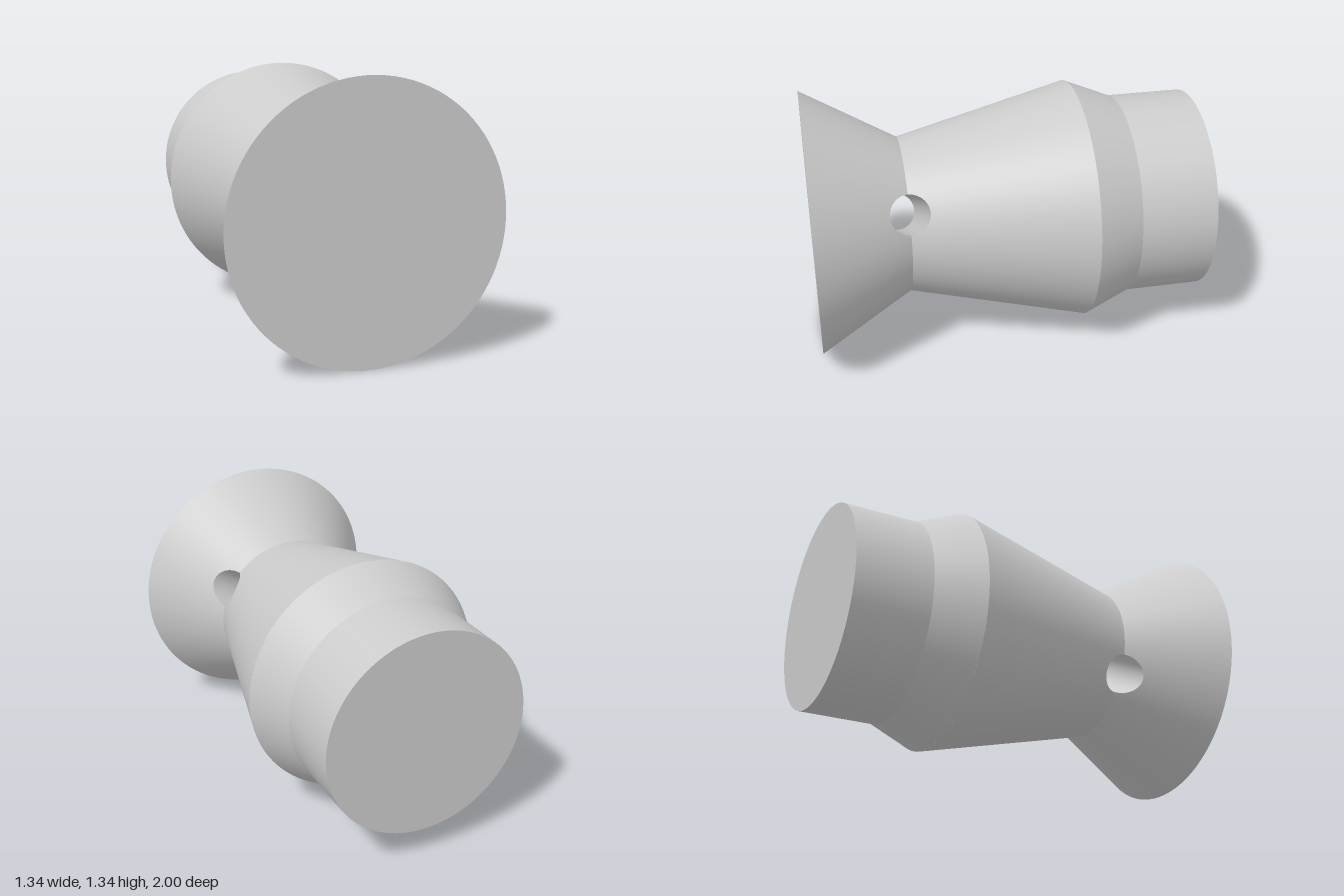
import * as THREE from 'three';

const MAX_R = 0.672;                       // front rim radius, also the axis height
const NECK_Z = 0.525, NECK_R = 0.4;
const HOLE_R = 0.1, HOLE_TILT = THREE.MathUtils.degToRad(28.4);
const BACK_Z = -0.371, BACK_R = 0.62;      // widest ring of the barrel
const SIDES = 96, HOLE_STEPS = 24;

const material = new THREE.MeshStandardMaterial({ color: 0xcccccc });

const slope = (dir) => dir > 0
  ? (MAX_R - NECK_R) / (1 - NECK_Z)
  : (BACK_R - NECK_R) / (BACK_Z - NECK_Z);
const radiusAt = (z) => NECK_R + slope(z >= NECK_Z ? 1 : -1) * (z - NECK_Z);

function addMesh(parent, name, geometry) {
  const mesh = new THREE.Mesh(geometry, material);
  mesh.name = name;
  parent.add(mesh);
  return mesh;
}

// Surface between two rails; each column is { a, b, n }
function strip(columns) {
  const pos = [], nor = [], index = [];
  columns.forEach(({ a, b, n }, i) => {
    pos.push(...a, ...b);
    nor.push(...n, ...n);
    if (i > 0) {
      const k = 2 * (i - 1);
      index.push(k, k + 2, k + 1, k + 2, k + 3, k + 1);
    }
  });
  const g = new THREE.BufferGeometry();
  g.setAttribute('position', new THREE.Float32BufferAttribute(pos, 3));
  g.setAttribute('normal', new THREE.Float32BufferAttribute(nor, 3));
  g.setIndex(index);
  return g;
}

// Cone running from the neck to an outer ring, notched by the hole on both sides
function notchedCone(dir, endZ, endR) {
  const starts = [];
  const edge = Math.asin(HOLE_R / NECK_R);
  for (const side of [0, Math.PI]) {
    for (let i = 0; i <= HOLE_STEPS; i++) {
      const phi = Math.PI * (1 - i / HOLE_STEPS);
      const z = NECK_Z + dir * HOLE_R * Math.sin(phi);
      starts.push([side + Math.asin(HOLE_R * Math.cos(phi) / radiusAt(z)), z]);
    }
    const steps = SIDES / 2;
    for (let i = 1; i <= steps; i++) {
      starts.push([side + edge + (Math.PI - 2 * edge) * i / steps, NECK_Z]);
    }
  }
  const columns = starts.map(([angle, z]) => {
    const c = Math.cos(angle), s = Math.sin(angle), r = radiusAt(z);
    return {
      a: [r * c, r * s, z],
      b: [endR * c, endR * s, endZ],
      n: new THREE.Vector3(c, s, -slope(dir)).normalize().toArray(),
    };
  });
  return strip(dir > 0 ? columns : columns.reverse());
}

// Inner wall of the cross hole, following the saddle-shaped rims
function holeWall() {
  const columns = [];
  for (let i = 0; i <= 2 * HOLE_STEPS; i++) {
    const phi = Math.PI * i / HOLE_STEPS;
    const c = Math.cos(phi), s = Math.sin(phi);
    const y = HOLE_R * c, z = NECK_Z + HOLE_R * s;
    const x = Math.sqrt(radiusAt(z) ** 2 - y * y);
    columns.push({ a: [x, y, z], b: [-x, y, z], n: [0, -c, -s] });
  }
  return strip(columns);
}

// Plain open ring section between two z positions
function ring(frontZ, frontR, backZ, backR) {
  return new THREE.CylinderGeometry(frontR, backR, frontZ - backZ, SIDES, 1, true)
    .rotateX(Math.PI / 2)
    .translate(0, 0, (frontZ + backZ) / 2);
}

export function createModel() {
  const model = new THREE.Group();
  model.name = 'turnedFitting';

  // Body turned about z, rolled so the cross hole is tilted
  const body = new THREE.Group();
  body.name = 'body';
  body.position.y = MAX_R;
  body.rotation.z = HOLE_TILT;
  model.add(body);

  addMesh(body, 'frontFlare', notchedCone(1, 1, MAX_R));
  addMesh(body, 'taperedBarrel', notchedCone(-1, BACK_Z, BACK_R));
  addMesh(body, 'crossHole', holeWall());
  addMesh(body, 'shoulder', ring(BACK_Z, BACK_R, -0.61, 0.521));
  addMesh(body, 'rearCollar', ring(-0.61, 0.521, -1, 0.521));

  // Flat end faces
  addMesh(body, 'frontFace', new THREE.CircleGeometry(MAX_R, SIDES).translate(0, 0, 1));
  addMesh(body, 'rearFace',
    new THREE.CircleGeometry(0.521, SIDES).rotateY(Math.PI).translate(0, 0, -1));

  return model;
}
